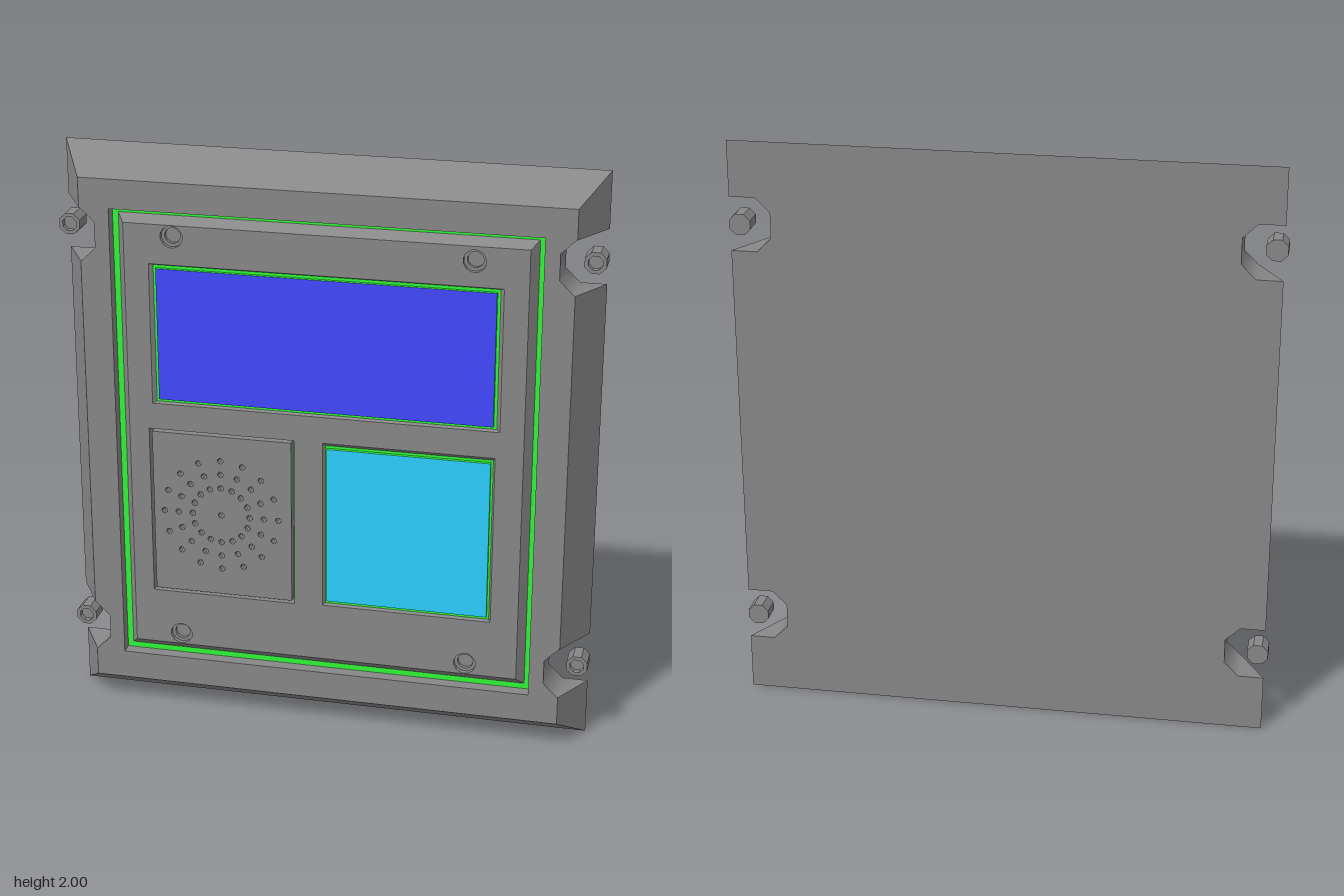
import * as THREE from 'three';
import { mergeGeometries, toCreasedNormals } from 'three/addons/utils/BufferGeometryUtils.js';

const grey = new THREE.MeshStandardMaterial({ color: 0x888888, flatShading: true });
const smoothGrey = new THREE.MeshStandardMaterial({ color: 0x888888 });
const green = new THREE.MeshStandardMaterial({ color: 0x30f838 });
const blue = new THREE.MeshStandardMaterial({ color: 0x4248ff });
const cyan = new THREE.MeshStandardMaterial({ color: 0x2ccfff });

// Depths along z
const BACK = -0.073, FRONT = 0.073, SEAL = 0.03, PANEL = 0.064;
const RIM = 0.054, SCREEN = 0.066, GROOVE = 0.03;

// Counter-clockwise outlines
const rect = (x0, x1, y0, y1) => [[x0, y0], [x1, y0], [x1, y1], [x0, y1]];
const ring = (x, y, r, n) => Array.from({ length: n }, (_, i) => {
  const a = (i + 0.5) * 2 * Math.PI / n;
  return [x + r * Math.cos(a), y + r * Math.sin(a)];
});
const toVectors = (loop) => loop.map(([x, y]) => new THREE.Vector2(x, y));

// Wall between two outlines: rising walls face outward, falling walls inward
function loft(a, za, b, zb) {
  const pos = [];
  a.forEach((p, i) => {
    const j = (i + 1) % a.length;
    const A = [...p, za], B = [...a[j], za], C = [...b[j], zb], D = [...b[i], zb];
    pos.push(...A, ...B, ...C, ...A, ...C, ...D);
  });
  const g = new THREE.BufferGeometry();
  g.setAttribute('position', new THREE.Float32BufferAttribute(pos, 3));
  g.computeVertexNormals();
  return g;
}

// Flat face with optional holes
function cap(loop, z, holes = []) {
  const shape = new THREE.Shape(toVectors(loop));
  shape.holes = holes.map((h) => new THREE.Path(toVectors(h)));
  const g = new THREE.ShapeGeometry(shape).toNonIndexed();
  g.deleteAttribute('uv');
  return g.translate(0, 0, z);
}

// Casing outline with four chamfered side notches
function casingOutline(w, y0, y1) {
  const half = [[w, y0]];
  for (const [a, b] of [[0.197, 0.379], [1.626, 1.81]]) {
    half.push([w, a], [0.814, a], [0.765, a + 0.048], [0.765, b - 0.048], [0.814, b], [w, b]);
  }
  half.push([w, y1]);
  return [...half, ...half.map(([x, y]) => [-x, y]).reverse()];
}

export function createModel() {
  const group = new THREE.Group();
  // The casing and panel sit a hair to the left of the bolts' centre line
  const add = (name, geos, material, x = 0.004, y = 0) => {
    const mesh = new THREE.Mesh(mergeGeometries(geos), material);
    mesh.name = name;
    mesh.position.set(x, y, 0);
    group.add(mesh);
  };

  // Bevelled casing with a rectangular recess; notch walls shade smoothly
  const back = casingOutline(0.9, 0, 2), front = casingOutline(0.816, 0.095, 1.91);
  const recess = rect(-0.715, 0.715, 0.195, 1.81);
  add('casing', [
    cap(back, 0).rotateY(Math.PI).translate(0, 0, BACK),
    toCreasedNormals(loft(back, BACK, front, FRONT), 0.9),
    cap(front, FRONT, [recess]),
    loft(recess, FRONT, recess, SEAL),
  ], smoothGrey);

  // Seal at the bottom of the recess, around the panel
  const panelBase = rect(-0.695, 0.695, 0.215, 1.79);
  const panelTop = rect(-0.67, 0.67, 0.245, 1.765);
  add('seal', [cap(recess, SEAL, [panelBase])], green);

  const panelGeos = [loft(panelBase, SEAL, panelTop, PANEL)];
  const panelHoles = [];

  // Displays: sloped opening, coloured rim and raised screen
  const displays = [
    ['upperDisplay', rect(-0.587, 0.59, 1.14, 1.63), rect(-0.574, 0.578, 1.146, 1.625), rect(-0.563, 0.568, 1.157, 1.615), blue],
    ['lowerDisplay', rect(-0.002, 0.577, 0.45, 1.048), rect(0.006, 0.57, 0.456, 1.037), rect(0.013, 0.563, 0.468, 1.028), cyan],
  ];
  for (const [name, hole, rim, screen, material] of displays) {
    panelHoles.push(hole);
    panelGeos.push(loft(hole, PANEL, rim, RIM));
    add(name + 'Rim', [cap(rim, RIM, [screen]), loft(screen, RIM, screen, SCREEN)], green);
    add(name, [cap(screen, SCREEN)], material);
  }

  // Stepped screw holes
  for (const [x, y] of [[-0.507, 1.726], [0.493, 1.716], [-0.507, 0.285], [0.493, 0.285]]) {
    const outer = ring(x, y, 0.038, 12), inner = ring(x, y, 0.027, 12);
    panelHoles.push(outer);
    panelGeos.push(
      loft(outer, PANEL, outer, 0.048), cap(outer, 0.048, [inner]),
      loft(inner, 0.048, inner, 0.034), cap(inner, 0.034),
    );
  }

  // Speaker: plate set off by a groove, with rings of sound holes
  const groove = rect(-0.602, -0.1, 0.445, 1.048), plate = rect(-0.592, -0.11, 0.455, 1.038);
  const soundHoles = [ring(-0.356, 0.75, 0.0105, 8)];
  for (const r of [0.1, 0.15, 0.2]) {
    for (let i = 0; i < 16; i++) {
      const a = i * Math.PI / 8;
      soundHoles.push(ring(-0.356 + r * Math.cos(a), 0.75 + r * Math.sin(a), 0.0105, 8));
    }
  }
  panelHoles.push(groove);
  panelGeos.push(loft(groove, PANEL, groove, GROOVE));
  add('speakerPlate', [
    loft(plate, GROOVE, plate, PANEL),
    cap(plate, PANEL, soundHoles),
    ...soundHoles.map((h) => loft(h, PANEL, h, GROOVE)),
  ], grey);
  add('speakerBacking', [cap(groove, GROOVE, [plate]), ...soundHoles.map((h) => cap(h, GROOVE))], green);

  panelGeos.push(cap(panelTop, PANEL, panelHoles));
  add('panel', panelGeos, grey);

  // Eight-sided socket bolts standing in the notches
  const profile = [[0, BACK], [0.038, BACK], [0.038, 0], [0.025, 0], [0.025, -0.02], [0, -0.02]];
  const bolt = new THREE.LatheGeometry(toVectors(profile), 8).rotateY(Math.PI / 8).rotateX(Math.PI / 2);
  for (const [x, y] of [[-0.872, 1.727], [0.872, 1.716], [-0.872, 0.285], [0.872, 0.285]]) {
    add('bolt', [bolt], grey, x, y);
  }
  return group;
}
